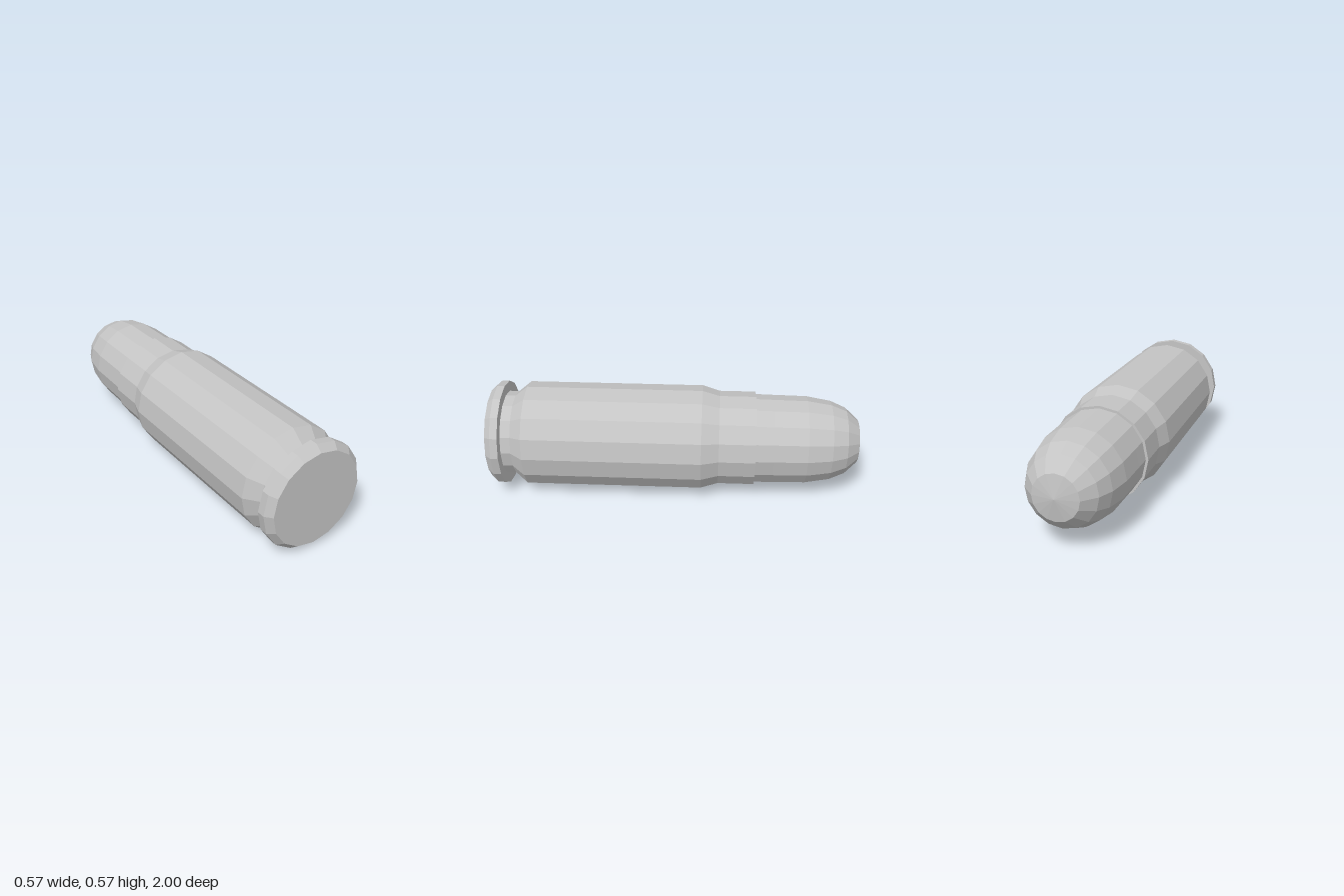
import * as THREE from 'three';

const SIDES = 16;
const AXIS_HEIGHT = 0.284;

// Revolve a [z, radius] profile, listed from the front (+z) to the back, about the z axis
function turned(name, profile, material) {
  const points = profile.map(([z, r]) => new THREE.Vector2(r, -z));
  const geometry = new THREE.LatheGeometry(points, SIDES);
  geometry.rotateX(-Math.PI / 2);
  const mesh = new THREE.Mesh(geometry, material);
  mesh.name = name;
  mesh.position.y = AXIS_HEIGHT;
  return mesh;
}

export function createModel() {
  const metal = new THREE.MeshStandardMaterial({ color: 0xc4c4c4, flatShading: true });
  metal.name = 'greyMetal';

  const model = new THREE.Group();
  model.name = 'cartridge';

  // Case: flat base, bevelled rim, extractor groove, body, shoulder, neck and mouth
  model.add(turned('case', [
    [1, 0], [1, 0.253], [0.965, 0.284], [0.925, 0.284],
    [0.925, 0.228], [0.872, 0.228], [0.803, 0.284],
    [-0.14, 0.284], [-0.232, 0.256], [-0.425, 0.256], [-0.425, 0.235],
  ], metal));

  // Rounded bullet seated in the mouth, ending in a shallow cone tip
  model.add(turned('bullet', [
    [-0.42, 0.243], [-0.52, 0.241], [-0.7, 0.238], [-0.83, 0.216],
    [-0.912, 0.181], [-0.981, 0.117], [-1, 0],
  ], metal));

  return model;
}
